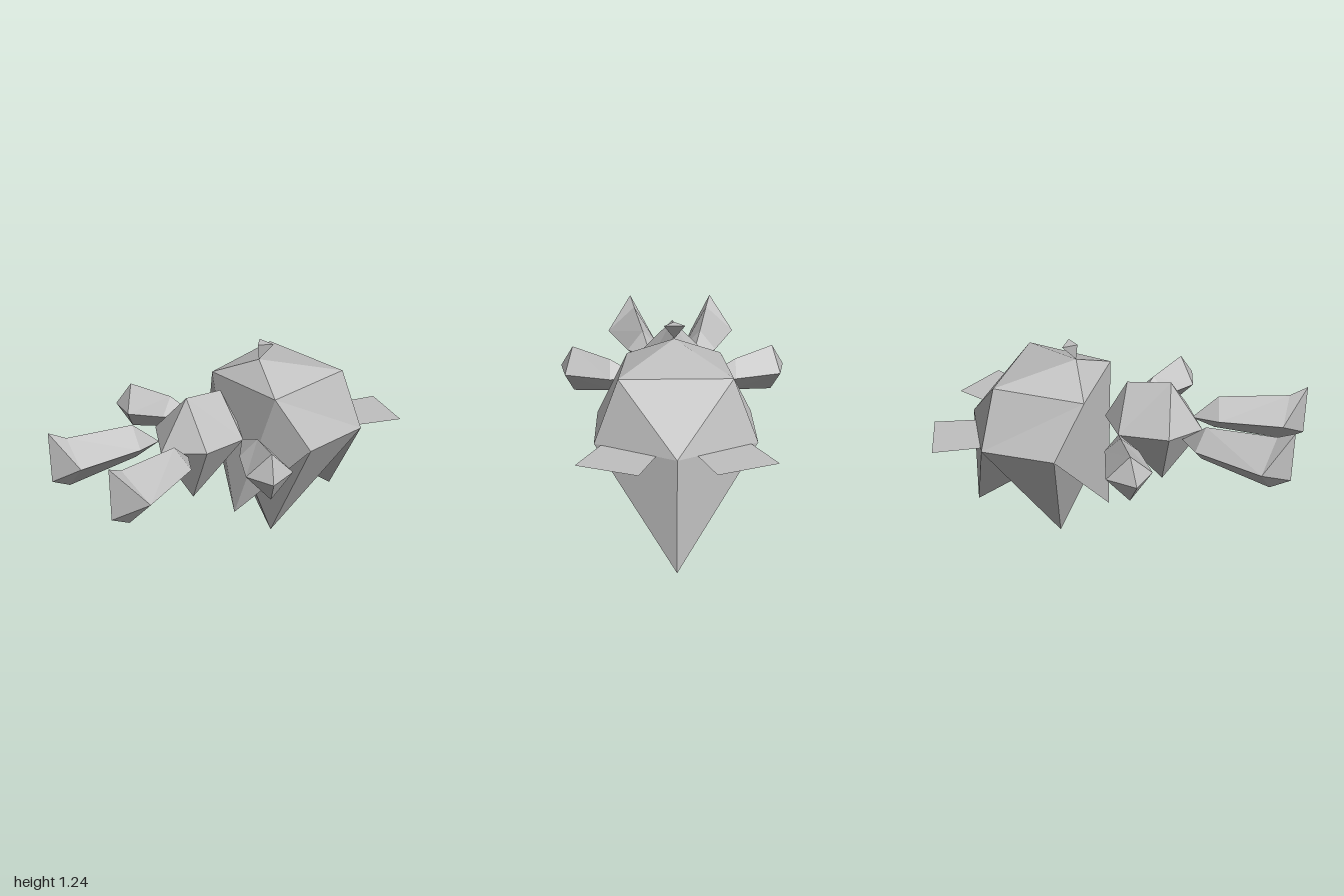
import * as THREE from 'three';

const grey = new THREE.MeshStandardMaterial({ color: 0xc0c0c0, flatShading: true });
grey.name = 'plain grey';
const greySheet = new THREE.MeshStandardMaterial({ color: 0xc0c0c0, flatShading: true, side: THREE.DoubleSide });
greySheet.name = 'plain grey sheet';

// Faceted solid from named corners; every face is turned away from the centre
function solid(name, corners, faces, centre, side = 1) {
  const point = (k) => {
    const [x, y, z] = corners[k];
    return new THREE.Vector3(x * side, y, z);
  };
  const mid = new THREE.Vector3(centre[0] * side, centre[1], centre[2]);
  const out = [];
  for (const face of faces) {
    for (let i = 1; i < face.length - 1; i++) {
      const [a, b, c] = [point(face[0]), point(face[i]), point(face[i + 1])];
      const n = b.clone().sub(a).cross(c.clone().sub(a));
      const order = n.dot(a.clone().sub(mid)) >= 0 ? [a, b, c] : [a, c, b];
      for (const p of order) out.push(p.x, p.y, p.z);
    }
  }
  const geo = new THREE.BufferGeometry();
  geo.setAttribute('position', new THREE.Float32BufferAttribute(out, 3));
  geo.computeVertexNormals();
  const mesh = new THREE.Mesh(geo, grey);
  mesh.name = name;
  return mesh;
}

// Symmetric solid: capitals are on the left or the midline, lower case is the mirror image
function symmetric(name, half, halfFaces, centre) {
  const corners = { ...half };
  for (const k in half) corners[k.toLowerCase()] = [-half[k][0], half[k][1], half[k][2]];
  const faces = [];
  for (const f of halfFaces) {
    faces.push([...f]);
    if (f === f.toUpperCase()) faces.push([...f.toLowerCase()]);
  }
  return solid(name, corners, faces, centre);
}

// Faces of a limb: tip 'S', first ring ABCD, second ring EFGH
const limbSides = ['SAB', 'SBC', 'SCD', 'SDA', 'ABFE', 'BCGF', 'CDHG', 'DAEH'];

export function createModel() {
  const model = new THREE.Group();
  model.name = 'lyingFigure';

  // Head with three pointed locks below
  model.add(symmetric('head', {
    A: [0, 1.155, -0.22], B: [0.25, 1.035, -0.1], C: [0.285, 1.07, -0.59],
    D: [0.41, 0.745, -0.22], E: [0.41, 0.745, -0.63], F: [0, 0.745, -0.84],
    G: [0, 0.25, -0.04], V: [0, 0.38, -0.18], H: [0, 0, -0.34],
    W: [0, 0.33, -0.59], J: [0, 0.13, -0.855],
  }, ['ABb', 'ACc', 'FCc', 'GBb', 'ABC', 'BCED', 'CEF', 'BDG',
    'DGV', 'DVH', 'DHE', 'EHW', 'EWJ', 'EJF'], [0, 0.74, -0.42]));

  // Small spike on the crown
  model.add(symmetric('crownSpike', {
    A: [0.055, 1.242, -0.278], B: [0, 1.242, -0.21], T: [0, 1.155, -0.22],
  }, ['AaB', 'AaT', 'ABT'], [0, 1.22, -0.245]));

  // Torso with pointed belly
  model.add(symmetric('torso', {
    N: [0, 1.09, 0.305], M: [0, 1.06, 0.065], S: [0.21, 0.86, 0.35],
    T: [0.18, 0.83, 0.065], P: [0, 0.83, 0.485], U: [0, 0.83, -0.06],
    Q: [0, 0.48, 0.27], R: [0, 0.65, 0.155],
  }, ['NMTS', 'MTU', 'NSP', 'SPQ', 'STQ', 'TRQ', 'TUR'], [0, 0.86, 0.2]));

  for (const side of [1, -1]) {
    const label = side > 0 ? 'left' : 'right';

    // Arm: A/E top, B/F front, C/G bottom, D/H back, T hand tip
    model.add(solid(label + 'Arm', {
      S: [0.17, 0.83, 0.065],
      A: [0.35, 0.92, 0.125], B: [0.31, 0.835, 0.215], C: [0.34, 0.735, 0.125], D: [0.35, 0.83, 0.04],
      E: [0.565, 0.96, 0.235], F: [0.48, 0.83, 0.33], G: [0.565, 0.697, 0.235], H: [0.605, 0.83, 0.12],
      T: [0.638, 0.83, 0.29],
    }, [...limbSides, 'EFT', 'FGT', 'GHT', 'HET'], [0.42, 0.83, 0.17], side));

    // Leg: A/E top, B/F outer, C/G bottom, D/H inner, X-Y toe edge
    model.add(solid(label + 'Leg', {
      S: [0.12, 0.825, 0.4],
      A: [0.17, 0.95, 0.535], B: [0.26, 0.845, 0.5], C: [0.17, 0.755, 0.52], D: [0.075, 0.845, 0.56],
      E: [0.225, 0.985, 0.91], F: [0.387, 0.845, 0.865], G: [0.25, 0.695, 0.895], H: [0.13, 0.835, 0.9],
      X: [0.25, 1.035, 1], Y: [0.25, 0.755, 1],
    }, [...limbSides, 'EFX', 'EHX', 'FXY', 'HXY', 'FYG', 'HYG'], [0.22, 0.84, 0.75], side));

    // Flat ear
    const outline = [[0.185, 1], [0.49, 0.88], [0.37, 0.64], [0.095, 0.77]];
    const shape = new THREE.Shape(outline.map(([x, z]) => new THREE.Vector2(x * side, z)));
    const ear = new THREE.Mesh(new THREE.ShapeGeometry(shape).rotateX(-Math.PI / 2), greySheet);
    ear.name = label + 'Ear';
    ear.position.y = 0.745;
    model.add(ear);
  }
  return model;
}
